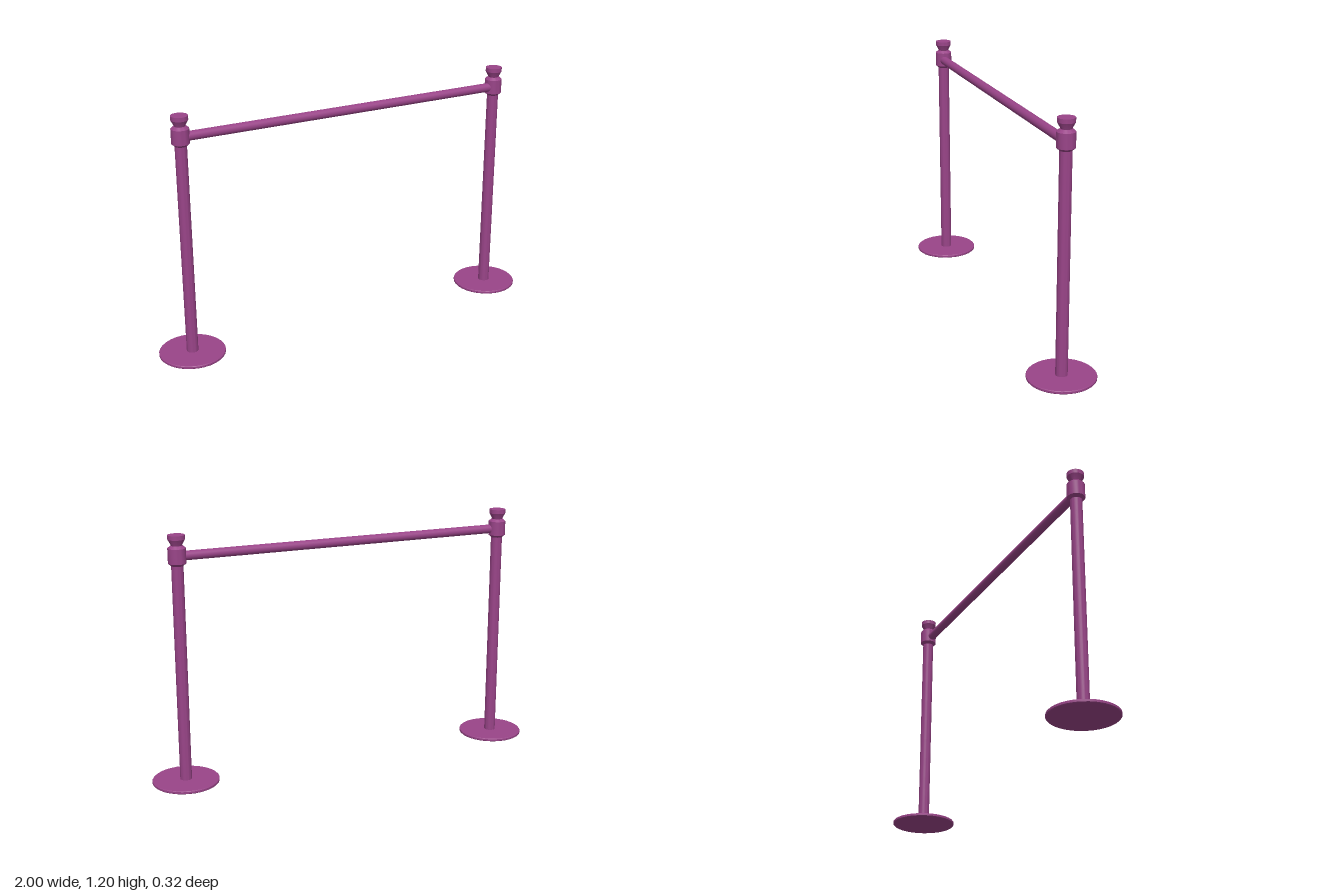
import * as THREE from 'three';
import { toCreasedNormals } from 'three/addons/utils/BufferGeometryUtils.js';

const POST_X = 0.84;
const SIDES = 32;

export function createModel() {
  const model = new THREE.Group();
  model.name = 'queueBarrier';
  const material = new THREE.MeshStandardMaterial({ color: 0x994488 });

  // Turned part from [radius, height] pairs, bottom to top, with sharp rims
  const turned = (name, profile) => {
    const points = profile.map(([r, y]) => new THREE.Vector2(r, y));
    const geometry = toCreasedNormals(new THREE.LatheGeometry(points, SIDES), 0.4);
    const mesh = new THREE.Mesh(geometry, material);
    mesh.name = name;
    return mesh;
  };

  // One stanchion on each side
  for (const [name, side] of [['leftStanchion', 1], ['rightStanchion', -1]]) {
    const stanchion = new THREE.Group();
    stanchion.name = name;
    stanchion.position.x = side * POST_X;
    stanchion.add(
      turned('base', [[0, 0], [0.157, 0], [0.16, 0.003], [0.16, 0.012], [0.157, 0.015], [0, 0.015]]),
      turned('post', [[0, 0.01], [0.028, 0.01], [0.028, 1.07], [0, 1.07]]),
      turned('collar', [[0, 1.057], [0.028, 1.057], [0.042, 1.069], [0.042, 1.139], [0.028, 1.151], [0, 1.151]]),
      turned('cap', [[0, 1.145], [0.023, 1.145], [0.025, 1.152], [0.04, 1.18], [0.04, 1.2], [0, 1.2]])
    );
    model.add(stanchion);
  }

  // Straight rail joining the two collars
  const rail = new THREE.Mesh(new THREE.CylinderGeometry(0.022, 0.022, 1.62, 24), material);
  rail.name = 'rail';
  rail.rotation.z = Math.PI / 2;
  rail.position.set(0, 1.1, 0.006);
  model.add(rail);

  return model;
}
